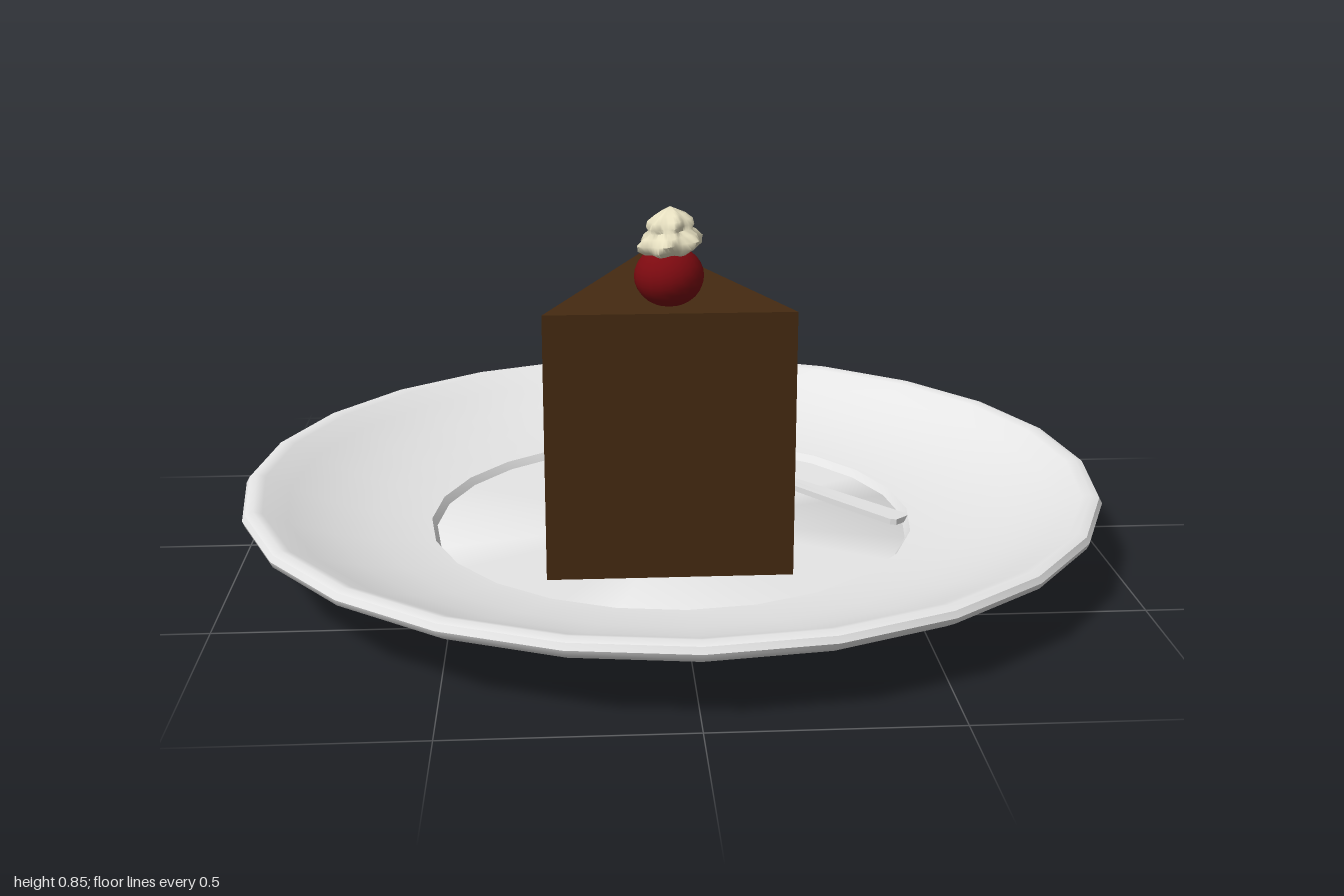
import * as THREE from 'three';
import { toCreasedNormals } from 'three/addons/utils/BufferGeometryUtils.js';

const material = (name, color) => {
  const m = new THREE.MeshStandardMaterial({ color });
  m.name = name;
  return m;
};
const vec = ([x, y]) => new THREE.Vector2(x, y);

export function createModel() {
  const group = new THREE.Group();
  const porcelain = material('porcelain', 0xe6e6e6);
  const metal = material('metal', 0xe2e2e2);
  const frosting = material('chocolateFrosting', 0x452a11);
  const sponge = material('darkSponge', 0x303030);
  const filling = material('creamFilling', 0xe6e6e6);
  const cherryRed = material('cherryRed', 0x7c0a10);
  const cream = material('whippedCream', 0xefe8c8);

  const add = (name, geometry, mat, parent = group) => {
    const mesh = new THREE.Mesh(geometry, mat);
    mesh.name = name;
    parent.add(mesh);
    return mesh;
  };

  // Plate: foot, flared underside, rolled rim and a shallow well
  const plateProfile = [
    [0, 0.004], [0.53, 0.004], [0.545, 0], [0.562, 0.012], [0.562, 0.026], [0.55, 0.036],
    [0.6, 0.039], [0.7, 0.05], [0.8, 0.07], [0.9, 0.1], [0.97, 0.13], [0.995, 0.145],
    [1, 0.158], [0.993, 0.171], [0.975, 0.177], [0.955, 0.171], [0.9, 0.142],
    [0.8, 0.104], [0.7, 0.077], [0.6, 0.061], [0.57, 0.058], [0.558, 0.04], [0, 0.04],
  ].map(vec);
  add('plate', toCreasedNormals(new THREE.LatheGeometry(plateProfile, 24), 0.75), porcelain);

  // Cake slice: point at the back, frosted outer wall at the front
  const cake = new THREE.Group();
  cake.name = 'cakeSlice';
  cake.position.x = -0.0225;
  group.add(cake);
  const half = 0.2725, back = -0.365, front = 0.35, wall = 0.31;
  const bottom = 0.038, lidY = 0.63, top = 0.64;
  const widthAt = (z) => half * (z - back) / (front - back);

  // Extrudes a floor outline of (x, z) points upward from y0 to y1
  const prism = (outline, y0, y1) => {
    const shape = new THREE.Shape(outline.map(([x, z]) => new THREE.Vector2(x, -z)));
    return new THREE.ExtrudeGeometry(shape, { depth: y1 - y0, bevelEnabled: false })
      .rotateX(-Math.PI / 2).translate(0, y0, 0);
  };
  const w = widthAt(wall);
  add('sponge', prism([[0, back], [-w, wall], [w, wall]], bottom, lidY), sponge, cake);
  add('frostingTop', prism([[0, back], [-half, front], [half, front]], lidY, top), frosting, cake);
  add('frostingWall', prism([[-w, wall], [-half, front], [half, front], [w, wall]], bottom, lidY), frosting, cake);

  // Wavy filling stripe on each cut face, measured from the point outward
  const length = Math.hypot(w, wall - back);
  const lower = [0.288, 0.284, 0.274, 0.274, 0.286, 0.282, 0.286, 0.282, 0.284];
  const upper = [0.376, 0.373, 0.388, 0.386, 0.378, 0.384, 0.382, 0.39, 0.39];
  const edge = (heights) => heights.map((y, i) => new THREE.Vector2(length * i / (heights.length - 1), y));
  const stripe = new THREE.Shape([...edge(lower), ...edge(upper).reverse()]);
  for (const side of [1, -1]) {
    const geometry = new THREE.ExtrudeGeometry(stripe, { depth: 0.006, bevelEnabled: false })
      .translate(0, 0, -0.003);
    const mesh = add(side > 0 ? 'fillingLeft' : 'fillingRight', geometry, filling, cake);
    mesh.position.z = back;
    mesh.rotation.y = -Math.atan2(wall - back, side * w);
  }

  // Cherry
  const cherry = add('cherry', new THREE.SphereGeometry(0.076, 20, 14), cherryRed);
  cherry.scale.y = 0.88;
  cherry.position.set(-0.02, 0.701, 0.255);

  // Whipped cream: a two-tier profile with twisted ridges
  const swirlProfile = [
    [0, 0.745], [0.045, 0.75], [0.064, 0.764], [0.068, 0.778], [0.058, 0.792], [0.046, 0.802],
    [0.049, 0.812], [0.045, 0.824], [0.031, 0.836], [0.016, 0.845], [0, 0.853],
  ].map(vec);
  const swirl = new THREE.LatheGeometry(swirlProfile, 48);
  const p = swirl.attributes.position;
  for (let i = 0; i < p.count; i++) {
    const x = p.getX(i), y = p.getY(i), z = p.getZ(i);
    const angle = Math.atan2(z, x), r = Math.hypot(x, z);
    const k = 1 + 0.11 * Math.cos(6 * angle + (y - 0.745) * 60);
    const tilt = 0.12 * x * Math.min(1, r / 0.03);
    p.setXYZ(i, x * k, y + tilt, z * k);
  }
  swirl.deleteAttribute('normal');
  add('creamSwirl', toCreasedNormals(swirl, 1.2), cream).position.set(-0.018, 0, 0.255);

  // Fork outline: x is across, y runs from handle end to tine tips
  const tip = 0.848, root = 0.695;
  const outline = [
    [-0.02, 0], [0.02, 0], [0.029, 0.012], [0.026, 0.2], [0.017, 0.5], [0.015, 0.57],
    [0.026, 0.6], [0.052, 0.63], [0.06, 0.655],
  ];
  for (let i = 0; i < 4; i++) {
    const c = 0.05 - i * 0.0333;
    outline.push([c + 0.01, root], [c * 0.93 + 0.007, 0.78], [c * 0.88 + 0.003, tip],
      [c * 0.88 - 0.003, tip], [c * 0.93 - 0.007, 0.78], [c - 0.01, root]);
  }
  outline.push([-0.06, 0.655], [-0.052, 0.63], [-0.026, 0.6], [-0.015, 0.57],
    [-0.017, 0.5], [-0.026, 0.2], [-0.029, 0.012]);
  const forkGeometry = new THREE.ExtrudeGeometry(new THREE.Shape(outline.map(vec)),
    { depth: 0.014, bevelEnabled: false }).rotateX(-Math.PI / 2);
  // Lift the head in a gentle curve so the tines clear the rim of the well
  const f = forkGeometry.attributes.position;
  for (let i = 0; i < f.count; i++) {
    const t = Math.max(0, -f.getZ(i) - 0.57) / (tip - 0.57);
    f.setY(i, f.getY(i) + 0.075 * Math.pow(t, 1.3));
  }
  forkGeometry.deleteAttribute('normal');
  const fork = add('fork', toCreasedNormals(forkGeometry, 0.6), metal);
  fork.position.set(0.548, 0.044, 0.06);
  fork.rotation.y = Math.atan2(0.545, 0.65);

  return group;
}
